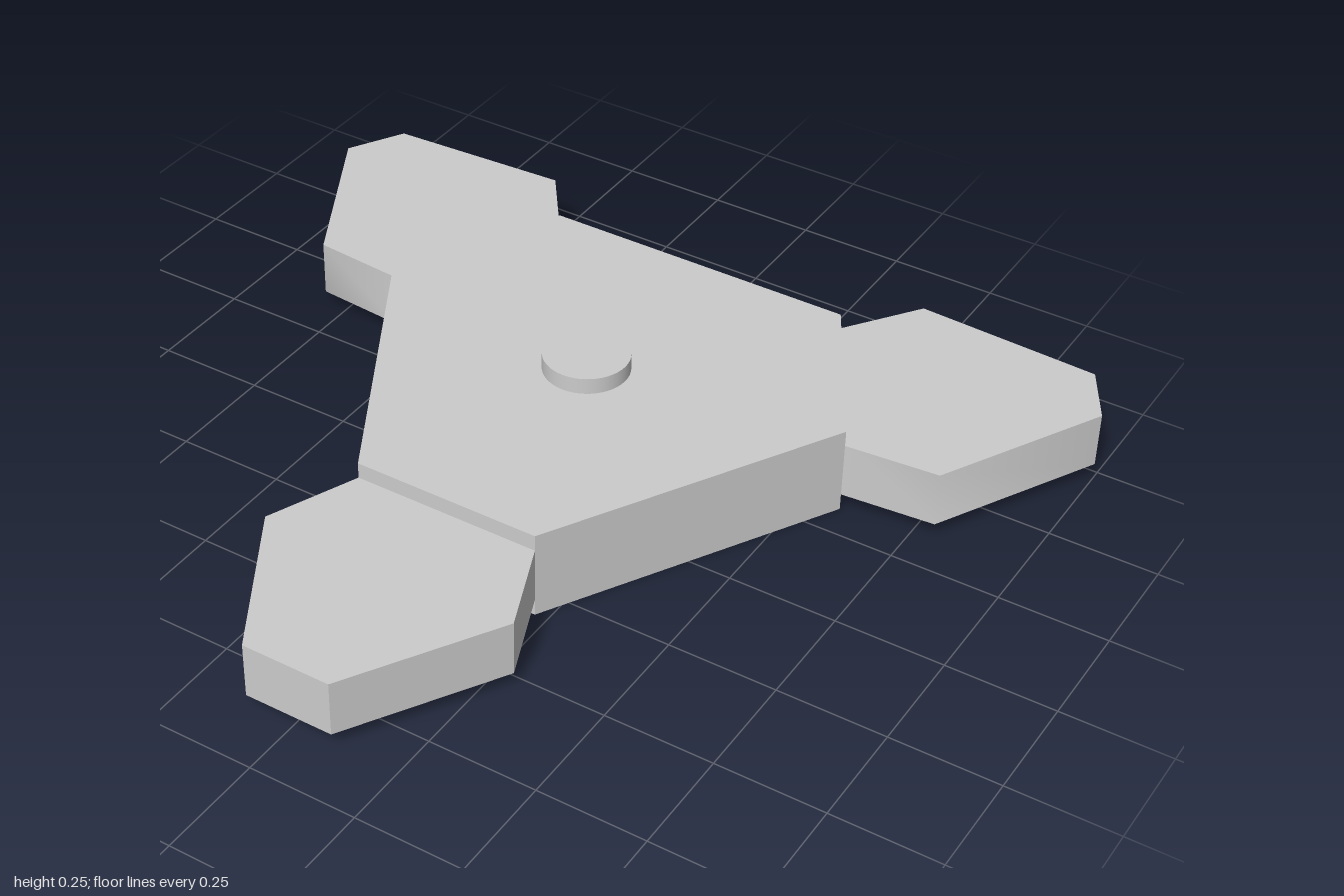
import * as THREE from 'three';
import { toCreasedNormals } from 'three/addons/utils/BufferGeometryUtils.js';

const material = new THREE.MeshStandardMaterial({ color: 0xcccccc });

// Upright prism over an [x, z] outline, from y0 to y1
function prism(name, outline, y0, y1, crease = 0.2) {
  const shape = new THREE.Shape(outline.map(([x, z]) => new THREE.Vector2(x, -z)));
  const solid = new THREE.ExtrudeGeometry(shape, { depth: y1 - y0, bevelEnabled: false });
  solid.rotateX(-Math.PI / 2).translate(0, y0, 0);
  const mesh = new THREE.Mesh(toCreasedNormals(solid, crease), material);
  mesh.name = name;
  return mesh;
}

// Complete a half outline by reflecting it in x
const symmetric = (half) => [...half, ...half.map(([x, z]) => [-x, z]).reverse()];

export function createModel() {
  const model = new THREE.Group();
  model.name = 'threeArmedPlate';

  // Central triangular body with clipped corners
  model.add(prism('body', symmetric([[0.22, 0.32], [0.585, -0.33], [0.372, -0.705]]), 0, 0.21));

  // Front arm
  model.add(prism('frontArm', symmetric([[0.22, 0.32], [0.306, 0.53], [0.104, 0.872]]), 0.04, 0.172));

  // Mirrored rear arms, with softened outer corners
  const rear = [[0.585, -0.33], [0.8, -0.348], [1, -0.725], [0.925, -0.856], [0.495, -0.878], [0.372, -0.705]];
  for (const [name, side] of [['leftRearArm', 1], ['rightRearArm', -1]]) {
    model.add(prism(name, rear.map(([x, z]) => [side * x, z]), 0.04, 0.172, 1.003));
  }

  // Round button on top
  const button = new THREE.Mesh(new THREE.CylinderGeometry(0.098, 0.098, 0.04, 48), material);
  button.name = 'button';
  button.position.set(0, 0.229, -0.228);
  model.add(button);

  return model;
}
